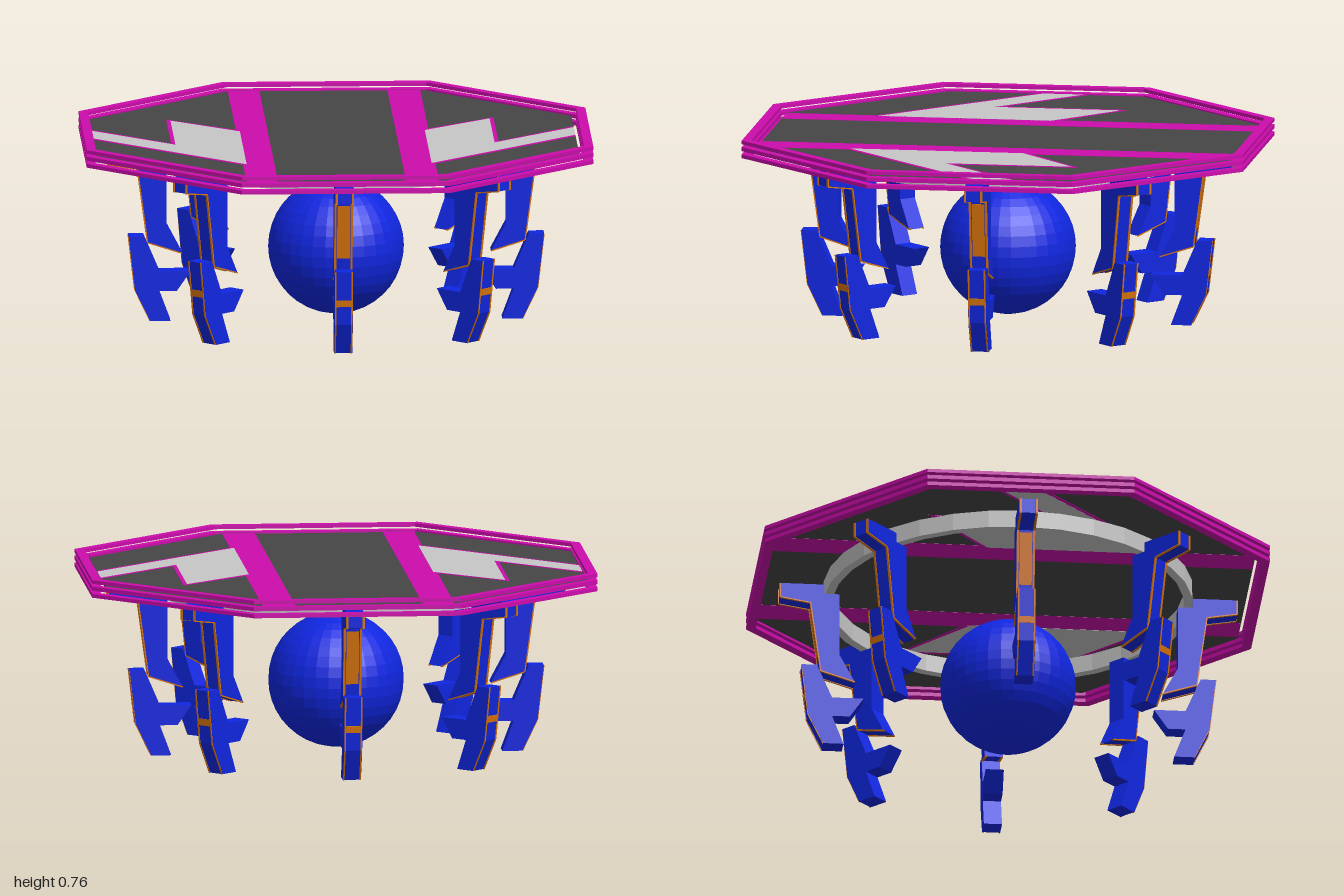
import * as THREE from 'three';

const mat = (name, color, flat = false) => {
  const m = new THREE.MeshStandardMaterial({ color, flatShading: flat });
  m.name = name;
  return m;
};

export function createModel() {
  const magenta = mat('magenta', 0xcc0cac);
  const charcoal = mat('charcoal', 0x464646);
  const lightGrey = mat('light grey', 0xc6c6c6, true);
  const blue = mat('blue', 0x1026e0, true);
  const orange = mat('orange', 0xd8740c);

  const model = new THREE.Group();
  model.name = 'hoverPlatform';
  const add = (parent, name, geo, material) => {
    const mesh = new THREE.Mesh(geo, material);
    mesh.name = name;
    parent.add(mesh);
    return mesh;
  };
  const toShape = pts => new THREE.Shape(pts.map(p => new THREE.Vector2(p[0], p[1])));

  // Horizontal slab: outline in (x, z), between two heights
  const slab = (shape, bottom, top) => new THREE.ExtrudeGeometry(shape, { depth: top - bottom, bevelEnabled: false })
    .rotateX(Math.PI / 2).translate(0, top, 0);
  const octagon = (s, shift = 0) => [
    [1, -0.41], [1, 0.41], [0.41, 1], [-0.41, 1], [-1, 0.41], [-1, -0.41], [-0.41, -1], [0.41, -1],
  ].map(([x, z]) => [x * s + shift, z * s + shift]);

  // Three stacked rim frames
  for (const [bottom, top] of [[0.69, 0.705], [0.718, 0.734], [0.746, 0.76]]) {
    const shape = toShape(octagon(1));
    shape.holes.push(toShape(octagon(0.963)));
    add(model, 'rimFrame', slab(shape, bottom, top), magenta);
  }

  // Deck panel, with markings that show on both faces
  add(model, 'deck', slab(toShape(octagon(0.954, -0.009)), 0.721, 0.729), charcoal);
  for (const [x0, x1] of [[-0.39, -0.265], [0.24, 0.37]]) {
    add(model, 'deckStripe', slab(toShape([[x0, -0.96], [x1, -0.96], [x1, 0.943], [x0, 0.943]]), 0.7202, 0.7298), magenta);
  }
  const arrow = [[0.365, -0.115], [0.63, -0.35], [0.63, 0.155], [0.955, -0.155], [0.955, 0.005], [0.365, 0.575]];
  const border = [[0.365, -0.137], [0.646, -0.377], [0.646, 0.125], [0.955, -0.177], [0.955, 0.027], [0.365, 0.597]];
  for (const side of [-1, 1]) {
    const place = pts => toShape(pts.map(([x, z]) => [x * side - 0.01, z]));
    add(model, 'arrowBorder', slab(place(border), 0.7198, 0.7302), magenta);
    add(model, 'arrow', slab(place(arrow), 0.7192, 0.7308), lightGrey);
  }

  // Mounting ring under the deck
  const ring = new THREE.LatheGeometry(
    [[0.695, 0.65], [0.73, 0.65], [0.73, 0.7205], [0.695, 0.7205], [0.695, 0.65]]
      .map(p => new THREE.Vector2(p[0], p[1])), 32);
  add(model, 'mountingRing', ring, lightGrey);

  // Core ball
  add(model, 'coreBall', new THREE.SphereGeometry(0.268, 32, 20).translate(0, 0.292, 0), blue);

  // Eight claws: profiles in (radius, height), given real width sideways
  const width = 0.072;
  const upper = [[0.905, 0.69], [0.905, 0.63], [0.785, 0.61], [0.745, 0.315], [0.61, 0.272],
    [0.67, 0.385], [0.67, 0.65], [0.73, 0.65], [0.73, 0.69]];
  const lower = [[0.82, 0.34], [0.795, 0.125], [0.735, 0], [0.655, 0], [0.7, 0.12],
    [0.63, 0.12], [0.575, 0.2], [0.7, 0.2], [0.76, 0.34]];
  const clawGeo = pts => new THREE.ExtrudeGeometry(toShape(pts), { depth: width, bevelEnabled: false })
    .translate(0, 0, -width / 2);
  const upperGeo = clawGeo(upper), lowerGeo = clawGeo(lower);

  // Thin plate lying along a profile edge
  const plate = (parent, name, a, b, z, w) => {
    const dx = b[0] - a[0], dy = b[1] - a[1];
    const mesh = add(parent, name, new THREE.BoxGeometry(Math.hypot(dx, dy), 0.005, w), orange);
    mesh.position.set((a[0] + b[0]) / 2, (a[1] + b[1]) / 2, z);
    mesh.rotation.z = Math.atan2(dy, dx);
  };

  for (let i = 0; i < 8; i++) {
    const claw = new THREE.Group();
    claw.name = 'claw';
    claw.rotation.y = i * Math.PI / 4;
    add(claw, 'upperClaw', upperGeo, blue);
    add(claw, 'lowerClaw', lowerGeo, blue);

    // Glowing trim along the outer edges and across the bend
    for (const z of [-0.032, 0.032]) {
      for (let k = 0; k < 4; k++) plate(claw, 'upperTrim', upper[k], upper[k + 1], z, 0.009);
      for (let k = 0; k < 2; k++) plate(claw, 'lowerTrim', lower[k], lower[k + 1], z, 0.006);
    }
    plate(claw, 'bendTrim', [0.8065, 0.225], [0.8035, 0.198], 0, 0.06);
    if (i % 2 === 0) plate(claw, 'outerPanel', [0.783, 0.6], [0.754, 0.385], 0, 0.05);
    model.add(claw);
  }
  return model;
}
